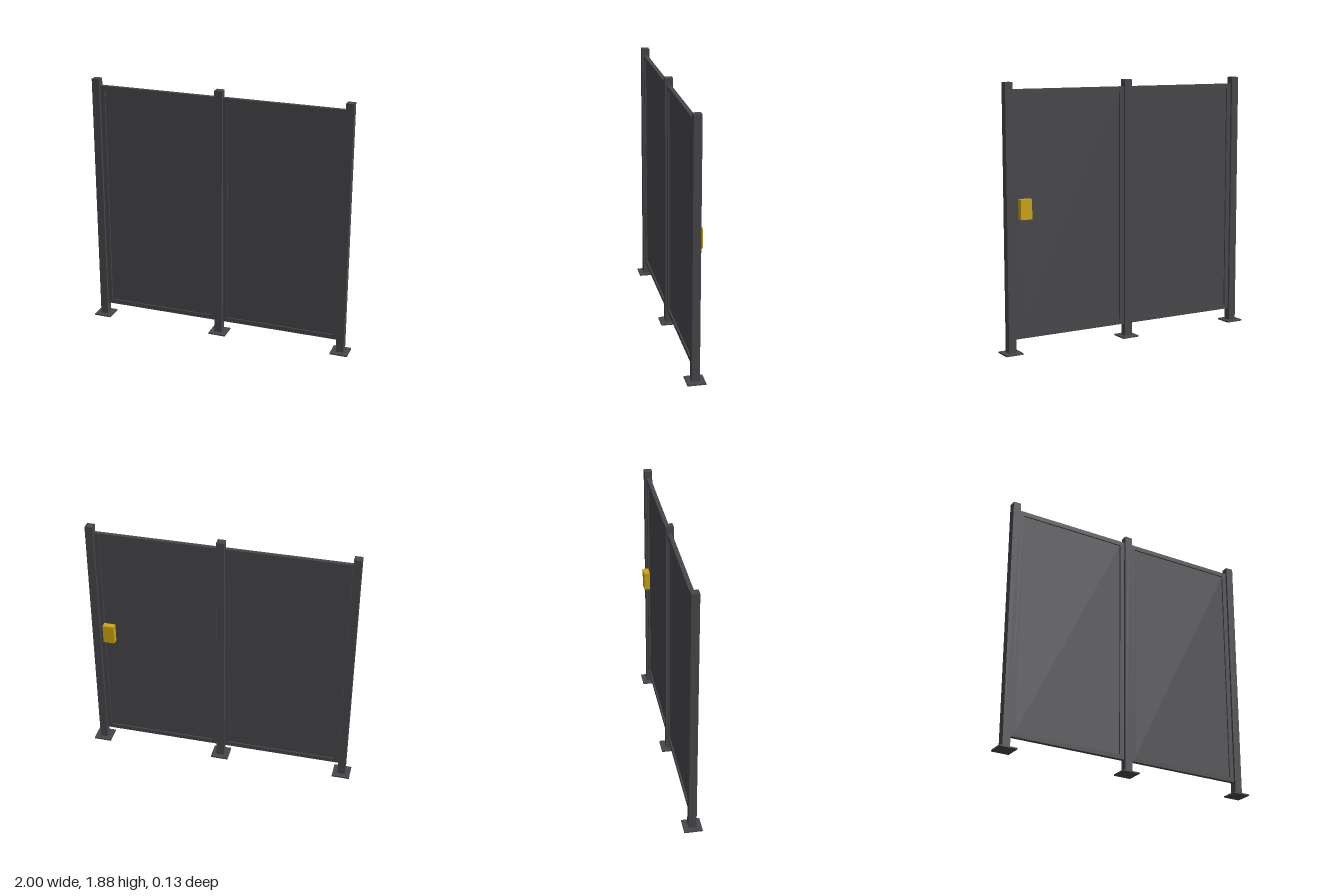
import * as THREE from 'three';

export function createModel() {
  const group = new THREE.Group();
  const steel = new THREE.MeshStandardMaterial({ name: 'dark grey steel', color: 0x47474b });
  const yellow = new THREE.MeshStandardMaterial({ name: 'safety yellow', color: 0xcca510 });

  const box = (name, parent, material, size, position) => {
    const mesh = new THREE.Mesh(new THREE.BoxGeometry(...size), material);
    mesh.name = name;
    mesh.position.set(...position);
    parent.add(mesh);
  };

  // Square posts, each standing on a foot plate
  for (const x of [-0.935, 0, 0.935]) {
    const post = new THREE.Group();
    post.name = 'post';
    post.position.x = x;
    box('footPlate', post, steel, [0.13, 0.01, 0.13], [0, 0.005, 0]);
    box('postTube', post, steel, [0.056, 1.865, 0.056], [0, 0.9425, 0]);
    group.add(post);
  }

  // Framed panels with a thin recessed infill sheet
  const width = 0.872, bottom = 0.1, top = 1.826, bar = 0.033, depth = 0.03;
  const height = top - bottom, midY = (top + bottom) / 2;
  for (const side of [-1, 1]) {
    const panel = new THREE.Group();
    panel.name = side < 0 ? 'rightPanel' : 'leftPanel';
    panel.position.set(side * 0.468, midY, 0);
    const frame = new THREE.Shape();
    frame.moveTo(-width / 2, -height / 2);
    frame.lineTo(width / 2, -height / 2);
    frame.lineTo(width / 2, height / 2);
    frame.lineTo(-width / 2, height / 2);
    frame.closePath();
    const w = width / 2 - bar, h = height / 2 - bar;
    frame.holes.push(new THREE.Path([
      new THREE.Vector2(-w, -h), new THREE.Vector2(-w, h),
      new THREE.Vector2(w, h), new THREE.Vector2(w, -h),
    ]));
    const geometry = new THREE.ExtrudeGeometry(frame, { depth, bevelEnabled: false });
    geometry.translate(0, 0, -depth / 2);
    const mesh = new THREE.Mesh(geometry, steel);
    mesh.name = 'panelFrame';
    panel.add(mesh);
    box('infillSheet', panel, steel, [w * 2, h * 2, 0.008], [0, 0, 0]);
    group.add(panel);
  }

  // Lock box on the back of the left panel
  box('lockBox', group, yellow, [0.084, 0.14, 0.044], [0.83, 1.01, -0.037]);

  return group;
}
